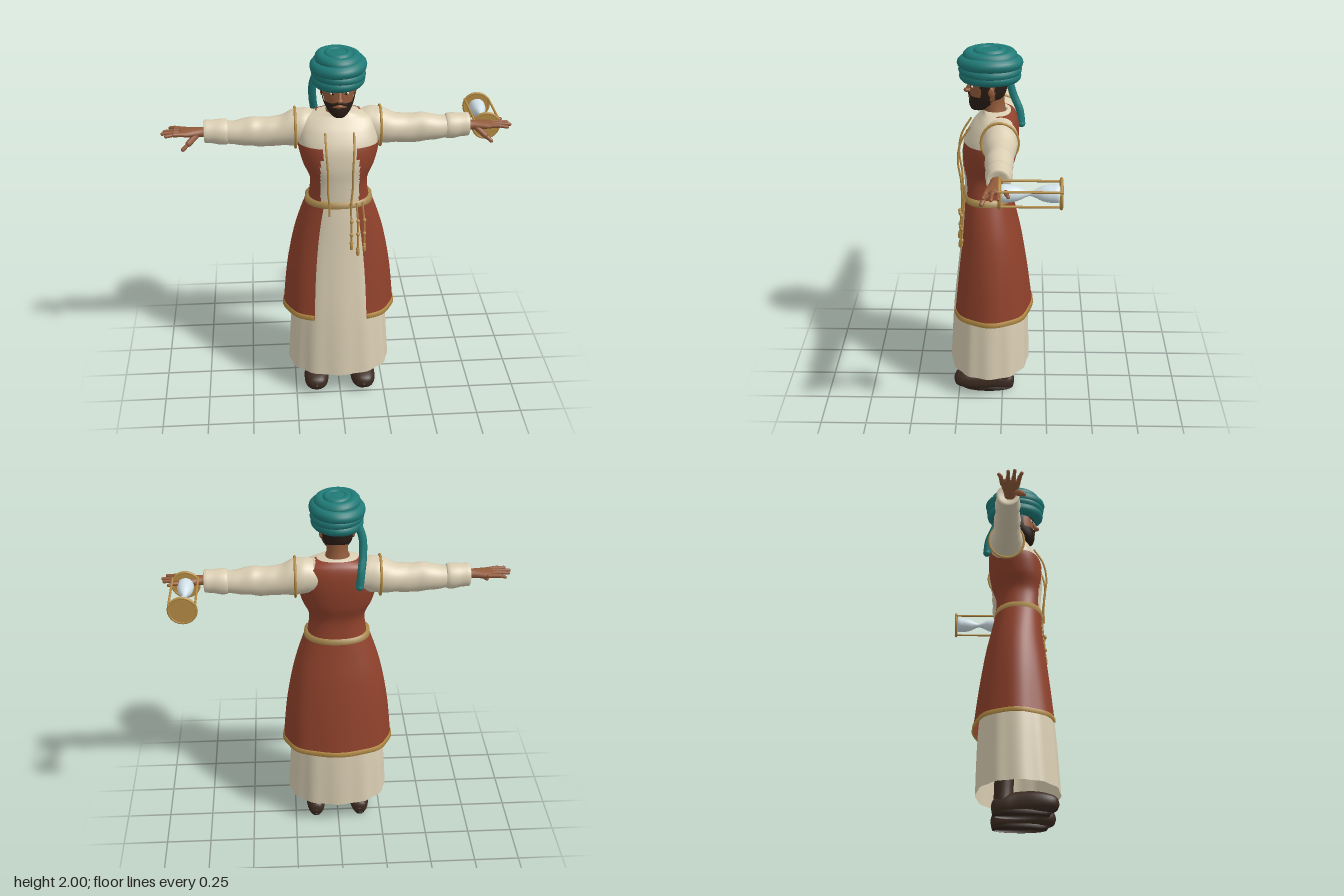
import * as THREE from 'three';

const mat = (name, color, double = false) => {
  const m = new THREE.MeshStandardMaterial({ color, side: double ? THREE.DoubleSide : THREE.FrontSide });
  m.name = name;
  return m;
};
const V = (x, y, z) => new THREE.Vector3(x, y, z);

// Smooth interpolation through table rows at parameter u (in row units)
function sampleRow(rows, u) {
  const n = rows.length - 1, i = Math.min(Math.floor(u), n - 1), t = u - i;
  const p = k => rows[Math.max(0, Math.min(n, k))];
  return rows[i].map((_, c) => {
    const a = p(i - 1)[c], b = p(i)[c], d = p(i + 1)[c], e = p(i + 2)[c];
    return b + 0.5 * t * (d - a + t * (2 * a - 5 * b + 4 * d - e + t * (3 * (b - d) + e - a)));
  });
}

// Skin over rows [y, centreX, centreZ, radiusX, radiusZ]; angle 0 is the front
function loft(rows, { from = 0, to = Math.PI * 2, seg = 48, steps = 4, power = 2, mod, keep } = {}) {
  const closed = to - from > 6.28, cols = closed ? seg : seg + 1, last = (rows.length - 1) * steps;
  const pos = [], idx = [], bend = v => Math.sign(v) * Math.abs(v) ** (2 / power);
  for (let i = 0; i <= last; i++) {
    const [y, cx, cz, rx, rz] = sampleRow(rows, i / steps);
    for (let j = 0; j < cols; j++) {
      const a = from + (to - from) * j / seg, k = mod ? mod(a, y) : 1;
      pos.push(cx + rx * k * bend(Math.sin(a)), y, cz + rz * k * bend(Math.cos(a)));
    }
  }
  for (let i = 0; i < last; i++) for (let j = 0; j < seg; j++) {
    const a = i * cols + j, b = i * cols + (j + 1) % cols, c = a + cols, d = b + cols;
    const mid = k => (pos[a * 3 + k] + pos[b * 3 + k] + pos[c * 3 + k] + pos[d * 3 + k]) / 4;
    if (!keep || keep(mid(0), mid(1), mid(2))) idx.push(a, b, c, b, d, c);
  }
  const g = new THREE.BufferGeometry();
  g.setAttribute('position', new THREE.Float32BufferAttribute(pos, 3));
  g.setIndex(idx);
  g.computeVertexNormals();
  return g;
}

const grow = (rows, d) => rows.map(([y, cx, cz, rx, rz]) => [y, cx, cz, rx + d, rz + d]);

export function createModel() {
  const cream = mat('cream cloth', 0xd9cdb2, true), red = mat('rust cloth', 0x8f412b, true);
  const gold = mat('gold', 0xb58c44), sash = mat('sash tan', 0xaa8a4e, true), teal = mat('teal cloth', 0x1f7a77);
  const skin = mat('skin', 0x935b3b), leather = mat('dark leather', 0x3c2b21), hair = mat('hair', 0x2b1e17, true);
  const glass = mat('pale glass', 0xd3e3ea), white = mat('eye white', 0xe6ddcf);

  const model = new THREE.Group();
  const add = (name, geo, m, parent = model) => {
    const mesh = new THREE.Mesh(geo, m);
    mesh.name = name;
    parent.add(mesh);
    return mesh;
  };
  const limb = (name, a, b, r, m, parent) => {
    const dir = b.clone().sub(a), mesh = add(name, new THREE.CapsuleGeometry(r, dir.length(), 5, 10), m, parent);
    mesh.position.copy(a).add(b).multiplyScalar(0.5);
    mesh.quaternion.setFromUnitVectors(V(0, 1, 0), dir.normalize());
    return mesh;
  };
  const ball = (name, p, r, m, sx = 1, sy = 1, sz = 1) => {
    const mesh = add(name, new THREE.SphereGeometry(r, 20, 14), m);
    mesh.position.copy(p);
    mesh.scale.set(sx, sy, sz);
    return mesh;
  };
  const tube = (name, pts, r, m) => add(name,
    new THREE.TubeGeometry(new THREE.CatmullRomCurve3(pts.map(p => V(...p))), 32, r, 8), m);

  // Long under-robe with soft folds
  add('underRobe', loft([[0.15, 0, 0.075, 0.283, 0.222], [0.5, 0, 0.07, 0.26, 0.206], [0.9, 0, 0.068, 0.215, 0.165],
    [1.1, 0, 0.08, 0.18, 0.136], [1.2, 0, 0.08, 0.16, 0.126]],
  { seg: 96, power: 2.2, mod: (a, y) => 1 + 0.016 * (1.2 - y) * Math.cos(12 * a) }), cream);

  // Open coat skirt and its gold hem
  const open = { from: 0.46, to: Math.PI * 2 - 0.46, seg: 80, power: 2.2,
    mod: (a, y) => 1 + 0.022 * Math.max(0, 1.18 - y) * Math.cos(8 * a) };
  add('coatSkirt', loft([[0.51, 0, 0.063, 0.305, 0.226], [0.75, 0, 0.064, 0.284, 0.197], [0.95, 0, 0.067, 0.25, 0.168],
    [1.08, 0, 0.075, 0.215, 0.147], [1.19, 0, 0.083, 0.176, 0.131]], open), red);
  add('coatHem', loft([[0.508, 0, 0.063, 0.3, 0.221], [0.505, 0, 0.063, 0.311, 0.232], [0.53, 0, 0.063, 0.308, 0.229],
    [0.533, 0, 0.063, 0.3, 0.221]], { ...open, steps: 1 }), gold).material.side = THREE.DoubleSide;

  // Torso with a vest that is open in front and high at the back
  const torso = [[1.17, 0, 0.08, 0.16, 0.123], [1.3, 0, 0.088, 0.145, 0.122], [1.4, 0, 0.078, 0.184, 0.14],
    [1.5, 0, 0.065, 0.208, 0.142], [1.58, 0, 0.045, 0.205, 0.122], [1.63, 0, 0.03, 0.185, 0.095],
    [1.655, 0, 0.03, 0.13, 0.075], [1.67, 0, 0.04, 0.066, 0.063]];
  const body = { seg: 120, steps: 8, power: 2.3 };
  add('shirt', loft(torso, body), cream);
  add('vest', loft(grow(torso, 0.007), { ...body, keep: (x, y, z) => z > 0.03
    ? y < 1.515 && Math.abs(x) > (y > 1.45 ? 0.085 : 0.102)
    : y < 1.46 || (y < 1.662 && Math.abs(x) < 0.2 - (y - 1.45) * 0.4) }), red);
  add('belt', loft([[1.168, 0, 0.083, 0.172, 0.126], [1.17, 0, 0.083, 0.183, 0.136], [1.203, 0, 0.083, 0.18, 0.134],
    [1.205, 0, 0.083, 0.15, 0.11]], { steps: 1, power: 2.2 }), sash);

  // Chest cords and hanging belt tassels
  for (const s of [-1, 1]) tube('chestCord', [[s * 0.075, 1.59, 0.172], [s * 0.072, 1.5, 0.224], [s * 0.066, 1.4, 0.24],
    [s * 0.065, 1.28, 0.225], [s * 0.058, 1.2, 0.222], [s * 0.058, 1.13, 0.222]], 0.0055, gold);
  for (const [x, end, z] of [[0.06, 0.94, 0.228], [0.095, 0.9, 0.224], [0.13, 0.92, 0.215]]) {
    tube('tasselCord', [[x * 0.92, 1.2, z - 0.012], [x, 1.08, z], [x, end, z + 0.01]], 0.005, gold);
    for (const y of [1.1, 1.02, end + 0.03]) ball('tasselBead', V(x, y, z + 0.006), 0.01, gold, 1, 1.3, 1);
    limb('tassel', V(x, end + 0.02, z + 0.01), V(x, end, z + 0.01), 0.009, gold);
  }

  // Sleeves, armhole trim, hands, legs and shoes on both sides
  const sleeve = [[0.1, 1.565, 0.01, 0.08, 0.08], [0.17, 1.568, 0.01, 0.097, 0.092], [0.23, 1.562, 0.01, 0.098, 0.092],
    [0.31, 1.545, 0.01, 0.08, 0.08], [0.4, 1.54, 0.01, 0.08, 0.071], [0.46, 1.545, 0.01, 0.078, 0.072],
    [0.53, 1.54, 0.01, 0.066, 0.066], [0.6, 1.543, 0.01, 0.058, 0.056]];
  const cuff = [[0.575, 1.545, 0.008, 0.05, 0.05], [0.582, 1.545, 0.008, 0.067, 0.065], [0.62, 1.545, 0.008, 0.069, 0.067],
    [0.66, 1.548, 0.008, 0.063, 0.06], [0.7, 1.55, 0.008, 0.062, 0.06], [0.702, 1.55, 0.01, 0.045, 0.045],
    [0.69, 1.55, 0.01, 0.001, 0.001]];
  const palm = [[0.66, 1.55, 0.018, 0.026, 0.03], [0.71, 1.55, 0.018, 0.025, 0.03], [0.75, 1.55, 0.018, 0.024, 0.038],
    [0.8, 1.552, 0.018, 0.02, 0.05], [0.83, 1.553, 0.018, 0.014, 0.046], [0.84, 1.553, 0.018, 0.001, 0.01]];
  const shoe = [[-0.068, 0.05, 0.005, 0.005], [-0.055, 0.05, 0.038, 0.038], [0, 0.058, 0.053, 0.053], [0.06, 0.067, 0.056, 0.06],
    [0.15, 0.07, 0.068, 0.06], [0.22, 0.068, 0.066, 0.05], [0.265, 0.066, 0.045, 0.034], [0.28, 0.066, 0.005, 0.005]];
  for (const s of [-1, 1]) {
    const side = s > 0 ? 'left' : 'right';
    const along = (rows, opt) => loft(rows.map(([x, y, z, ry, rz]) => [x, -s * y, z, ry, rz]), opt).rotateZ(-s * Math.PI / 2);
    add(side + 'Sleeve', along(sleeve, { seg: 32, mod: (a, x) => 1 + 0.015 * Math.sin(x * 70 + 2 * a) }), cream);
    add(side + 'Cuff', along(cuff, { seg: 32, steps: 2 }), cream);
    const trim = add(side + 'ArmholeTrim', new THREE.TorusGeometry(0.1, 0.007, 8, 40), gold);
    trim.rotation.y = Math.PI / 2;
    trim.scale.set(0.97, 1.08, 1);
    trim.position.set(s * 0.225, 1.56, 0.012);

    const hand = new THREE.Group();
    hand.name = side + 'Hand';
    model.add(hand);
    add('palm', along(palm, { seg: 24 }), skin, hand);
    [[-0.024, -0.042, 0.885], [0.004, 0.004, 0.912], [0.031, 0.037, 0.921], [0.055, 0.073, 0.9]].forEach(([z0, z1, tip]) => {
      limb('finger', V(s * 0.8, 1.553, z0), V(s * 0.86, 1.557, (z0 + z1) / 2), 0.0115, skin, hand);
      limb('fingertip', V(s * 0.86, 1.557, (z0 + z1) / 2), V(s * tip, 1.553, z1), 0.009, skin, hand);
    });
    limb('thumbBase', V(s * 0.745, 1.54, 0.04), V(s * 0.785, 1.508, 0.07), 0.016, skin, hand);
    limb('thumbTip', V(s * 0.785, 1.508, 0.07), V(s * 0.815, 1.482, 0.086), 0.011, skin, hand);

    add(side + 'Leg', loft([[0.05, s * 0.13, -0.002, 0.052, 0.054], [0.16, s * 0.13, -0.002, 0.045, 0.05],
      [0.5, s * 0.12, 0.02, 0.06, 0.06]], { seg: 24 }), leather);
    add(side + 'Shoe', loft(shoe.map(([z, y, rx, ry]) => [z, s * (0.13 + z * 0.02), -y, rx, ry]),
      { seg: 28, power: 2.4 }).rotateX(Math.PI / 2), leather);
    add(side + 'Sole', loft([[0, s * 0.13, 0.085, 0.045, 0.135], [0.004, s * 0.13, 0.085, 0.052, 0.145],
      [0.025, s * 0.13, 0.09, 0.055, 0.155], [0.03, s * 0.13, 0.09, 0.04, 0.1]], { seg: 28, steps: 1 }), hair);
  }

  // Neck, head, beard and back hair
  add('neck', loft([[1.6, 0, 0.035, 0.08, 0.068], [1.66, 0, 0.043, 0.062, 0.06], [1.72, 0, 0.05, 0.056, 0.058],
    [1.8, 0, 0.05, 0.06, 0.062]], { seg: 32 }), skin);
  const head = [[1.672, 0, 0.13, 0.004, 0.004], [1.676, 0, 0.127, 0.026, 0.032], [1.7, 0, 0.109, 0.053, 0.062],
    [1.74, 0, 0.086, 0.073, 0.086], [1.79, 0, 0.077, 0.083, 0.095], [1.84, 0, 0.073, 0.086, 0.098], [1.9, 0, 0.07, 0.086, 0.1]];
  add('head', loft(head), skin);
  const shell = grow(head, 0.007);
  shell.slice(0, 2).forEach(r => { r[0] -= 0.006; });
  add('beard', loft(shell, { seg: 72, steps: 8, keep: (x, y, z) => z > 0.065 &&
    (y < 1.728 || (Math.abs(x) > 0.036 && y < 1.75) || (Math.abs(x) > 0.066 && z < 0.115 && y < 1.83)) }), hair);
  add('backHair', loft(grow(head, 0.005), { seg: 72, steps: 8, keep: (x, y, z) => z < 0.04 && y > 1.735 }), hair);
  limb('noseBridge', V(0, 1.815, 0.168), V(0, 1.775, 0.188), 0.01, skin);
  ball('noseTip', V(0, 1.772, 0.19), 0.015, skin, 1.1, 0.8, 1.1);
  ball('lips', V(0, 1.737, 0.172), 0.016, skin, 1.2, 0.4, 0.7);
  for (const s of [-1, 1]) {
    limb('moustache', V(s * 0.004, 1.755, 0.177), V(s * 0.038, 1.738, 0.16), 0.0075, hair);
    ball('eye', V(s * 0.034, 1.802, 0.159), 0.013, white, 1.1, 0.6, 0.6);
    ball('pupil', V(s * 0.034, 1.802, 0.166), 0.006, hair, 1, 1, 0.6);
    limb('eyebrow', V(s * 0.016, 1.82, 0.17), V(s * 0.056, 1.822, 0.147), 0.006, hair);
    ball('ear', V(s * 0.086, 1.785, 0.06), 0.022, skin, 0.4, 1.2, 0.75);
  }

  // Turban of stacked rolls with a hanging tail
  ball('turbanCore', V(0, 1.915, 0.066), 0.12, teal, 1, 0.7, 1.17);
  [[1.853, 0.104, 0.035, 0.03], [1.888, 0.108, 0.034, -0.05], [1.924, 0.112, 0.036, 0.05], [1.96, 0.09, 0.032, -0.04],
    [1.978, 0.055, 0.022, 0]].forEach(([y, r, t, tilt]) => {
    const roll = add('turbanRoll', new THREE.TorusGeometry(r, t, 14, 56).scale(1, 1.17, 1).rotateX(Math.PI / 2), teal);
    roll.position.set(0, y, 0.067);
    roll.rotation.z = tilt;
  });
  ball('turbanTop', V(0, 1.975, 0.067), 0.05, teal, 1, 0.48, 1.17);
  tube('turbanTail', [[-0.105, 1.86, -0.02], [-0.127, 1.79, -0.03], [-0.128, 1.7, -0.055], [-0.118, 1.62, -0.088],
    [-0.11, 1.545, -0.098]], 0.021, teal);
  ball('tailEnd', V(-0.11, 1.545, -0.098), 0.021, teal);

  // Hourglass lying front to back beside the left hand
  const hourglass = new THREE.Group();
  hourglass.name = 'hourglass';
  hourglass.position.set(0.8, 1.535, 0.008);
  hourglass.rotation.x = -Math.PI / 2;
  model.add(hourglass);
  const bulb = [[0.001, 0.012], [0.04, 0.014], [0.043, 0.05], [0.036, 0.09], [0.02, 0.125], [0.012, 0.15],
    [0.02, 0.175], [0.036, 0.21], [0.043, 0.25], [0.04, 0.288], [0.001, 0.29]];
  add('glassBulbs', new THREE.LatheGeometry(new THREE.SplineCurve(bulb.map(p => new THREE.Vector2(...p))).getPoints(50), 32), glass, hourglass);
  for (const y of [0.007, 0.297]) {
    add('endPlate', new THREE.CylinderGeometry(0.074, 0.074, 0.012, 36), gold, hourglass).position.y = y;
    const rim = add('endRim', new THREE.TorusGeometry(0.07, 0.008, 8, 36).rotateX(Math.PI / 2), gold, hourglass);
    rim.position.y = y;
  }
  for (const a of [Math.PI / 6, Math.PI * 5 / 6, Math.PI * 1.5]) {
    const x = 0.07 * Math.cos(a) * 1.1, z = 0.07 * Math.sin(a);
    limb('post', V(x, 0, z), V(x, 0.3, z), 0.006, gold, hourglass);
  }
  return model;
}
